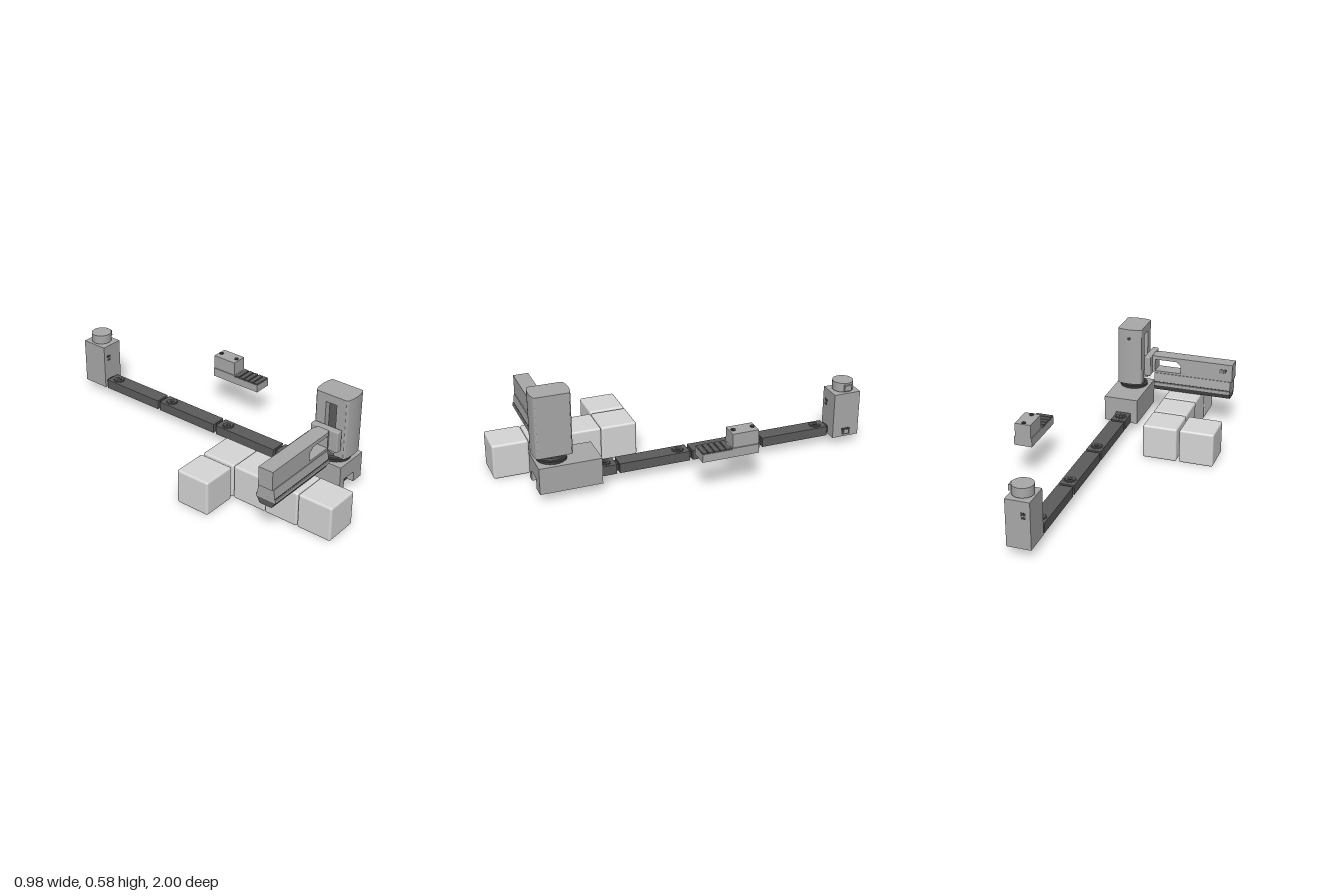
import * as THREE from 'three';
import { RoundedBoxGeometry } from 'three/addons/geometries/RoundedBoxGeometry.js';

const mat = (name, color) => Object.assign(new THREE.MeshStandardMaterial({ color }), { name });

export function createModel() {
  const root = new THREE.Group();
  const light = mat('light grey', 0xd6d6d6);
  const mid = mat('mid grey', 0xa9a9a9);
  const dark = mat('dark grey', 0x5c5c5c);
  const black = mat('charcoal', 0x3c3c3c);

  const add = (name, geo, m, x = 0, y = 0, z = 0) => {
    const mesh = new THREE.Mesh(geo, m);
    mesh.name = name;
    mesh.position.set(x, y, z);
    root.add(mesh);
    return mesh;
  };
  // box given by its limits on each axis
  const box = (name, m, x0, x1, y0, y1, z0, z1) =>
    add(name, new THREE.BoxGeometry(x1 - x0, y1 - y0, z1 - z0), m, (x0 + x1) / 2, (y0 + y1) / 2, (z0 + z1) / 2);
  const disc = (name, m, r, y0, y1, x, z, sides = 32) =>
    add(name, new THREE.CylinderGeometry(r, r, y1 - y0, sides), m, x, (y0 + y1) / 2, z);
  const poly = pts => new THREE.Shape(pts.map(p => new THREE.Vector2(...p)));
  const extrude = (shape, depth) => new THREE.ExtrudeGeometry(shape, { depth, bevelEnabled: false, curveSegments: 16 });

  // rounded crates
  for (const [x, z] of [[-0.392, 0.3], [-0.182, 0.3], [-0.182, 0.5], [-0.182, 0.7], [-0.182, 0.9]])
    add('crate', new RoundedBoxGeometry(0.196, 0.197, 0.198, 3, 0.012), light, x, 0.0985, z);

  // base block with a channel for the rail
  add('base', extrude(poly([[0.045, 0.05], [0.085, 0.05], [0.085, 0.11], [0.175, 0.11], [0.175, 0.05],
    [0.245, 0.05], [0.245, 0.197], [0.045, 0.197]]), 0.335), mid, 0, 0, 0.5);

  // rail: four links with narrow joints and toothed pivots
  for (let i = 0; i < 4; i++) {
    const z = -0.83 + i * 0.41;
    box('railLink', dark, 0.087, 0.173, 0.05, 0.104, z, z + 0.394);
    box('railJoint', black, 0.107, 0.153, 0.056, 0.096, z - 0.018, z + 0.002);
    const pz = z + 0.055;
    disc('railPivot', dark, 0.026, 0.1, 0.11, 0.13, pz, 20);
    disc('railPivotCap', black, 0.015, 0.1, 0.112, 0.13, pz, 20);
    for (let k = 0; k < 12; k++) {
      const a = k * Math.PI / 6;
      box('pivotTooth', dark, -0.004, 0.004, 0.1, 0.107, -0.004, 0.004)
        .position.set(0.13 + 0.029 * Math.cos(a), 0.1035, pz + 0.029 * Math.sin(a));
    }
  }
  box('railEnd', mid, 0.09, 0.17, 0.052, 0.1, 0.792, 0.8);
  add('railSocket', new THREE.TorusGeometry(0.017, 0.003, 8, 24), black, 0.15, 0.076, 0.8);

  // end tower with cap, vents and side socket
  box('endTower', mid, 0.085, 0.215, 0.05, 0.31, -1, -0.845);
  disc('towerNeck', dark, 0.045, 0.305, 0.32, 0.15, -0.923);
  disc('towerCap', mid, 0.057, 0.315, 0.367, 0.15, -0.923);
  box('capStud', mid, 0.2, 0.218, 0.325, 0.357, -0.943, -0.903);
  for (const z of [-1, -0.845]) {
    box('towerVent', black, 0.108, 0.132, 0.215, 0.25, z - 0.002, z + 0.002);
    box('ventBar', mid, 0.108, 0.132, 0.23, 0.235, z - 0.003, z + 0.003);
  }
  box('towerSocket', black, 0.213, 0.217, 0.06, 0.1, -0.95, -0.9);
  box('towerSocketPlug', mid, 0.213, 0.22, 0.068, 0.09, -0.938, -0.912);

  // turntable and neck
  disc('turntable', black, 0.08, 0.195, 0.211, 0.142, 0.74, 40);
  disc('turntableStep', dark, 0.064, 0.21, 0.223, 0.142, 0.74, 40);
  disc('columnNeck', mid, 0.042, 0.222, 0.24, 0.142, 0.74);

  // column with bowed front and back and a slot for the arm (shape y is -z)
  const column = (slotted) => {
    const s = new THREE.Shape();
    s.moveTo(0.07, -0.827);
    s.quadraticCurveTo(0.076, -0.836, 0.086, -0.838);
    s.quadraticCurveTo(0.142, -0.852, 0.198, -0.838);
    s.quadraticCurveTo(0.208, -0.836, 0.213, -0.827);
    s.lineTo(0.213, -0.653);
    s.quadraticCurveTo(0.208, -0.644, 0.198, -0.642);
    s.quadraticCurveTo(0.142, -0.628, 0.086, -0.642);
    s.quadraticCurveTo(0.076, -0.644, 0.07, -0.653);
    if (slotted) for (const p of [[0.07, -0.708], [0.11, -0.708], [0.11, -0.772], [0.07, -0.772]]) s.lineTo(...p);
    return s;
  };
  for (const [y, h, slotted] of [[0.235, 0.295, true], [0.53, 0.046, false]])
    add('column', extrude(column(slotted), h).rotateX(-Math.PI / 2), mid, 0, y, 0);
  box('slotBack', dark, 0.104, 0.112, 0.236, 0.53, 0.709, 0.771);
  const eye = add('columnHole', new THREE.CylinderGeometry(0.01, 0.01, 0.006, 20), black, 0.142, 0.52, 0.635);
  eye.rotation.x = Math.PI / 2;

  // arm bracket
  box('armConnector', mid, 0.05, 0.106, 0.325, 0.375, 0.715, 0.765);
  const plate = add('armPlate', new RoundedBoxGeometry(0.038, 0.12, 0.15, 2, 0.006), mid, 0.036, 0.3525, 0.74);
  plate.scale.z = 1.1;
  box('armStub', mid, -0.001, 0.02, 0.308, 0.408, 0.7, 0.77);

  // upper beam with a window cut through it
  const beam = poly([[-0.465, 0.305], [0, 0.305], [0, 0.41], [-0.465, 0.41]]);
  beam.holes.push(poly([[-0.157, 0.318], [-0.157, 0.365], [-0.13, 0.388], [-0.002, 0.388], [-0.002, 0.318]]));
  add('armBeam', extrude(beam, 0.084), mid, 0, 0, 0.693);
  box('beamPanel', dark, -0.43, -0.39, 0.355, 0.378, 0.69, 0.694);
  for (const x of [-0.42, -0.41, -0.4]) box('panelBar', mid, x - 0.002, x + 0.002, 0.355, 0.378, 0.689, 0.694);

  // flared skirt and dark gripper running under the beam
  const along = (name, pts, m) => {
    const both = [...pts, ...pts.map(([z, y]) => [-z, y]).reverse()];
    const mesh = add(name, extrude(poly(both), 0.457), m, 0, 0, 0.735);
    mesh.rotation.y = -Math.PI / 2;
    return mesh;
  };
  along('armSkirt', [[0.046, 0.306], [0.052, 0.252], [0.058, 0.25], [0.058, 0.232]], mid);
  along('skirtLine', [[0.0535, 0.2545], [0.0535, 0.251]], black);
  along('gripper', [[0.055, 0.232], [0.036, 0.199]], dark);

  // separate stepped unit with ribs and two buttons
  box('unitBase', mid, 0.385, 0.487, 0.203, 0.247, -0.265, 0.047);
  box('unitBlock', mid, 0.39, 0.481, 0.24, 0.331, -0.265, -0.12);
  box('unitDeck', mid, 0.385, 0.487, 0.245, 0.253, -0.265, -0.115);
  box('ribBed', dark, 0.387, 0.485, 0.245, 0.249, -0.115, 0.046);
  for (let i = 0; i < 5; i++) {
    const z = -0.113 + i * 0.033;
    box('rib', dark, 0.387, 0.485, 0.246, 0.254, z, z + 0.026);
  }
  for (const z of [-0.248, -0.14]) disc('button', black, 0.012, 0.33, 0.336, 0.435, z, 20);

  return root;
}
